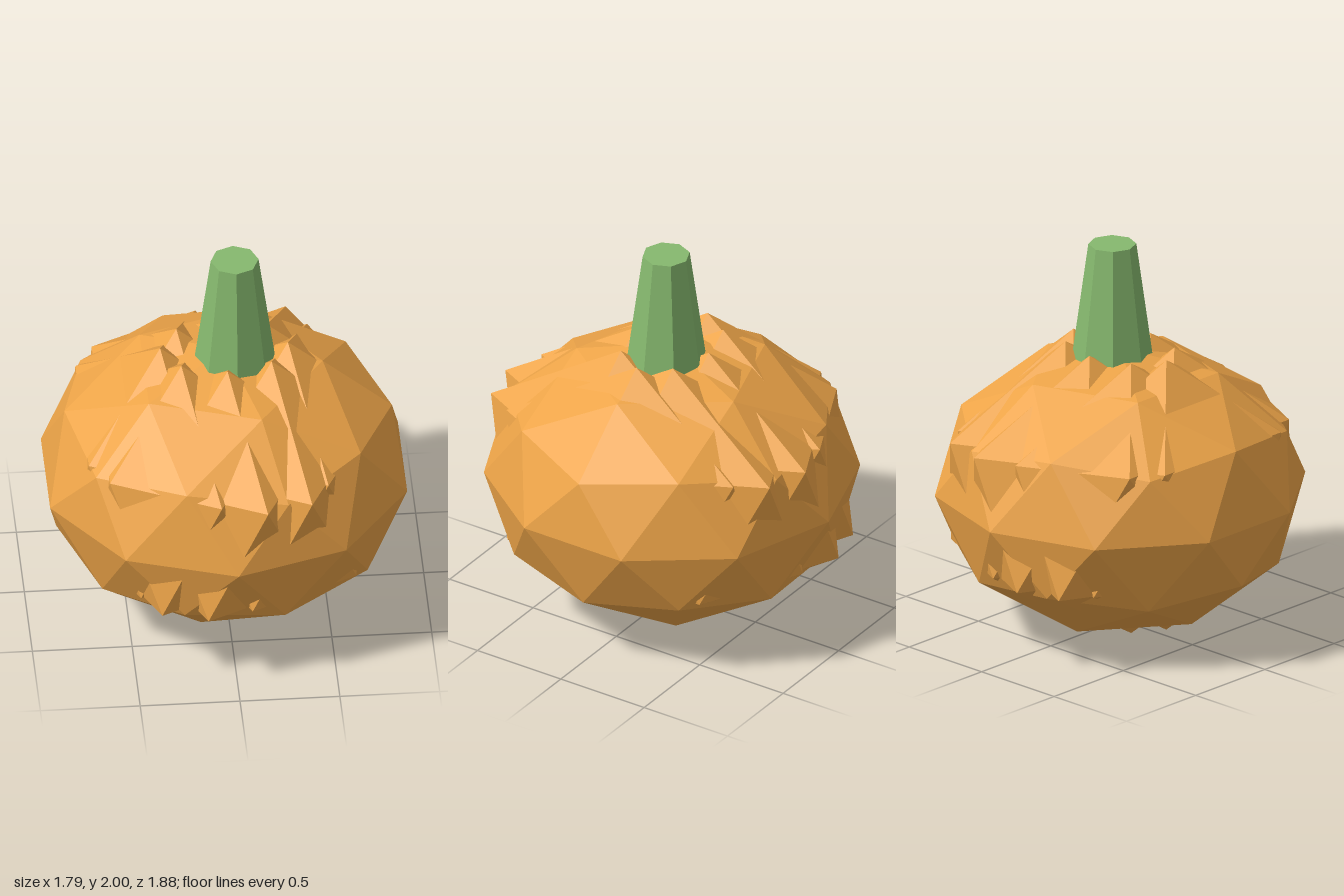
import * as THREE from 'three';

const orange = new THREE.MeshStandardMaterial({ color: 0xeda448, flatShading: true });
const green = new THREE.MeshStandardMaterial({ color: 0x86b96e, flatShading: true });

// Faceted ball standing on a corner, with one corner of its upper ring towards +x
function facetedBall(name, detail, rx, ry, rz) {
  const geometry = new THREE.IcosahedronGeometry(1, detail);
  geometry.rotateZ(-Math.atan(2 / (1 + Math.sqrt(5))));
  geometry.scale(rx, ry, rz);
  geometry.computeVertexNormals();
  const mesh = new THREE.Mesh(geometry, orange);
  mesh.name = name;
  return mesh;
}

export function createModel() {
  const model = new THREE.Group();
  model.name = 'pumpkin';

  // Main body
  const body = facetedBall('body', 1, 0.94, 0.728, 0.94);
  body.position.y = 0.73;
  model.add(body);

  // Eight coarse lobes set on an oval, their corners poking out of the body
  const lobes = new THREE.Group();
  lobes.name = 'lobes';
  for (let i = 0; i < 8; i++) {
    const a = (i * Math.PI) / 4;
    const lobe = facetedBall('lobe', 0, 0.54, 0.72, 0.8);
    lobe.position.set(0.32 * Math.cos(a), 0.755, 0.22 * Math.sin(a));
    lobes.add(lobe);
  }
  model.add(lobes);

  // Tapered eight-sided stem, slightly off centre
  const stem = new THREE.Mesh(new THREE.CylinderGeometry(0.12, 0.202, 0.6, 8), green);
  stem.name = 'stem';
  stem.position.set(0.053, 1.7, 0);
  model.add(stem);

  return model;
}
